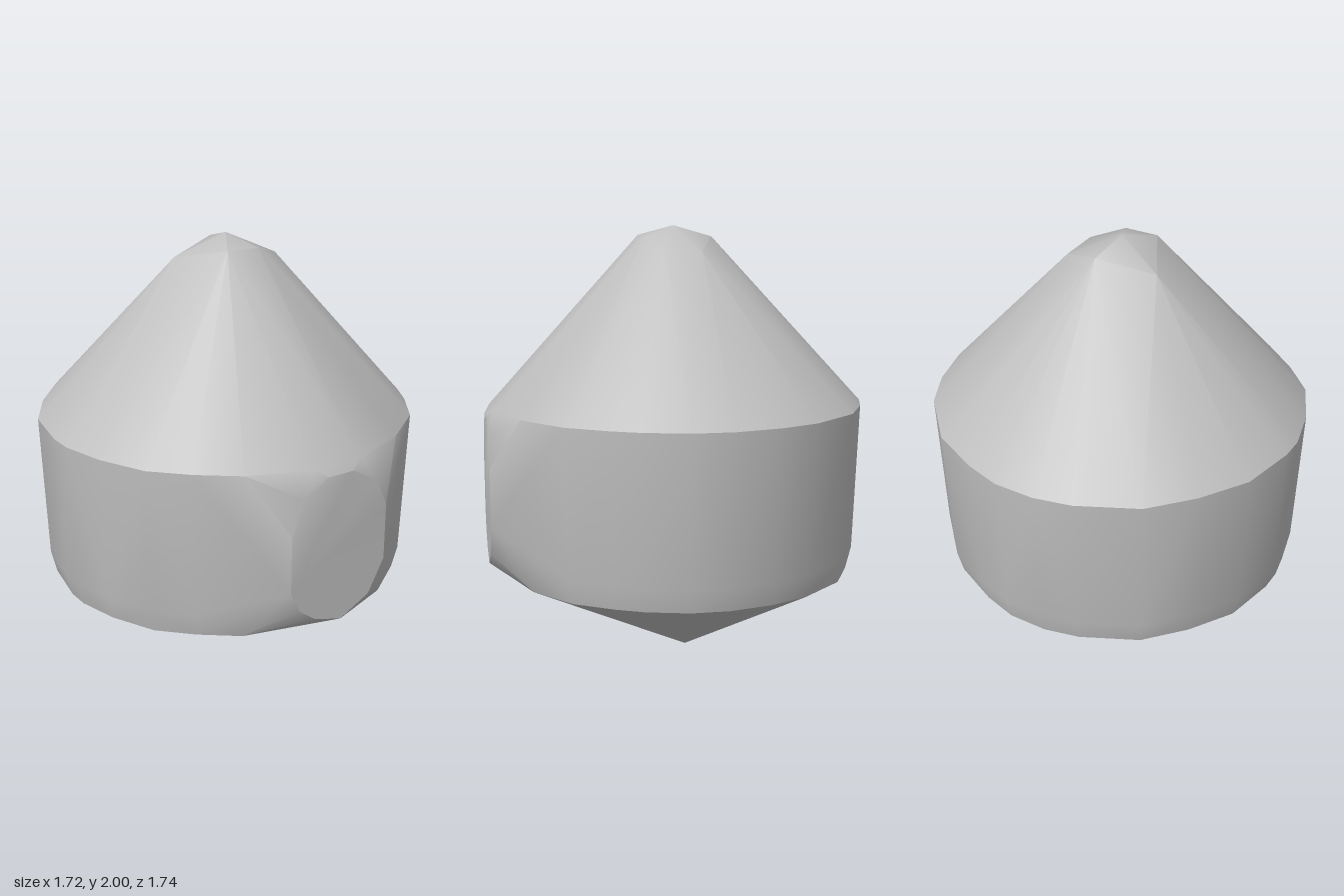
import * as THREE from 'three';
import { ConvexGeometry } from 'three/addons/geometries/ConvexGeometry.js';
import { toCreasedNormals } from 'three/addons/utils/BufferGeometryUtils.js';

// plan outline of the widest ring as [x, z], flattened towards the front
const OUTLINE = [
  [0, -0.87], [0.1, -0.87], [0.27, -0.82], [0.5, -0.71], [0.71, -0.49], [0.8, -0.31],
  [0.855, -0.1], [0.855, 0.08], [0.8, 0.28], [0.74, 0.4], [0.62, 0.58], [0.4, 0.74],
  [-0.4, 0.74], [-0.57, 0.61], [-0.71, 0.47], [-0.81, 0.26], [-0.86, 0.06], [-0.86, -0.05],
  [-0.81, -0.31], [-0.68, -0.52], [-0.52, -0.7], [-0.26, -0.83], [-0.09, -0.87],
];

// flat oval facet on the front as [x, y]
const FACET = [
  [-0.07, 1.15], [0.06, 1.15], [0.19, 1.08], [0.25, 0.95], [0.25, 0.69], [0.17, 0.54],
  [0.02, 0.46], [-0.12, 0.5], [-0.2, 0.56], [-0.25, 0.66], [-0.25, 0.92], [-0.19, 1.08],
];

// blunt, slightly uneven tip and off-centre base point
const TIP = [
  [0, 2, 0], [-0.22, 1.9, -0.08], [-0.09, 1.955, 0.15], [0.07, 1.95, 0.15],
  [0.21, 1.9, 0.08], [0.22, 1.89, -0.09], [0.03, 1.95, -0.17],
];
const BASE = [[-0.02, 0, -0.06], [0.12, 0.055, -0.03]];

export function createModel() {
  const group = new THREE.Group();
  group.name = 'facetedStone';
  const grey = new THREE.MeshStandardMaterial({ color: 0xbfbfbf });
  grey.name = 'stone grey';

  const points = [];
  const add = (x, y, z) => points.push(new THREE.Vector3(x, y, z));

  // wall rings: shoulder, lower wall, bottom edge
  for (const [y, scale] of [[1.188, 1], [0.52, 0.97], [0.415, 0.94]]) {
    for (const [x, z] of OUTLINE) add(x * scale, y, z * scale);
  }
  // shoulder above the front facet
  for (const x of [-0.12, 0.12]) add(x, 1.185, 0.845);
  for (const [x, y] of FACET) add(x, y, 0.87);
  for (const p of [...TIP, ...BASE]) add(...p);

  // one convex skin, smooth along the walls and sharp at the rims
  const body = new THREE.Mesh(toCreasedNormals(new ConvexGeometry(points), 0.55), grey);
  body.name = 'body';
  group.add(body);
  return group;
}
